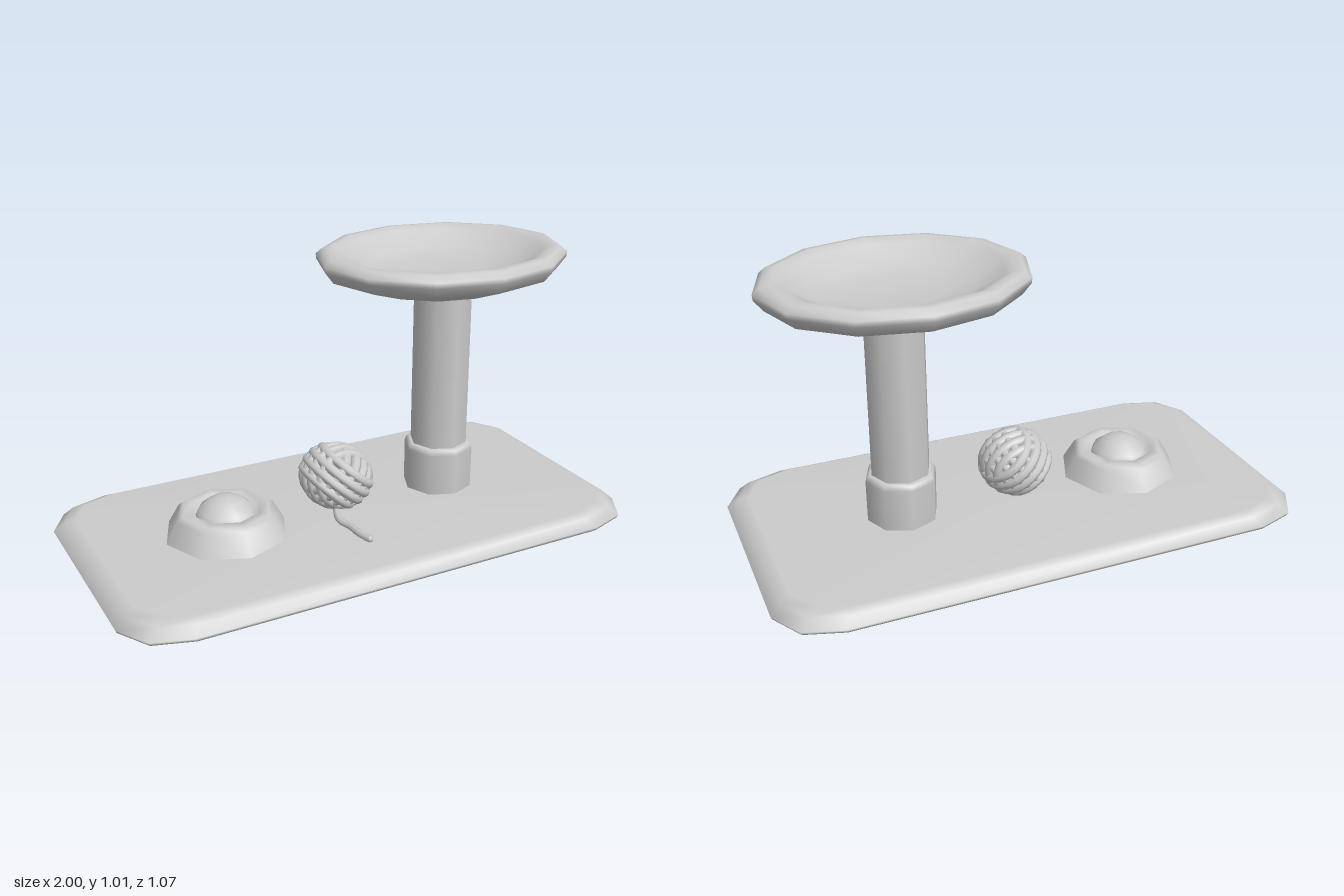
import * as THREE from 'three';

const material = new THREE.MeshStandardMaterial({ color: 0xcccccc });

function add(parent, name, geometry, x = 0, y = 0, z = 0) {
  const mesh = new THREE.Mesh(geometry, material);
  mesh.name = name;
  mesh.position.set(x, y, z);
  parent.add(mesh);
  return mesh;
}

// Revolved profile of [radius, height] pairs, listed from bottom to top
const lathe = (profile, sides) =>
  new THREE.LatheGeometry(profile.map(([r, y]) => new THREE.Vector2(r, y)), sides);

// Chamfered rectangular slab lofted through [height, inset] layers
function slabGeometry(layers) {
  const corner = [[1, 0.37], [0.93, 0.49], [0.79, 0.535]];
  const back = [...corner].reverse();
  const outline = [
    ...corner,
    ...back.map(([x, z]) => [-x, z]),
    ...corner.map(([x, z]) => [-x, -z]),
    ...back.map(([x, z]) => [x, -z]),
  ];
  const n = outline.length;
  const positions = [];
  const index = [];
  for (const [y, inset] of layers) {
    for (const [x, z] of outline) positions.push(x * (1 - inset), y, z * (1 - inset * 1.4));
  }
  const last = (layers.length - 1) * n;
  const bottom = layers.length * n;
  positions.push(0, layers[0][0], 0, 0, layers[layers.length - 1][0], 0);
  for (let i = 0; i < n; i++) {
    const j = (i + 1) % n;
    for (let k = 0; k < last; k += n) {
      index.push(k + i, k + n + i, k + j, k + j, k + n + i, k + n + j);
    }
    index.push(bottom, i, j, bottom + 1, last + j, last + i);
  }
  const geometry = new THREE.BufferGeometry();
  geometry.setAttribute('position', new THREE.Float32BufferAttribute(positions, 3));
  geometry.setIndex(index);
  geometry.computeVertexNormals();
  return geometry;
}

// Ball wound with parallel strands in three directions, plus a loose end
function createYarn() {
  const yarn = new THREE.Group();
  yarn.name = 'yarnBall';
  const ball = new THREE.Group();
  ball.name = 'windings';
  ball.position.set(-0.022, 0.182, 0);
  ball.scale.set(0.96, 0.86, 1.06);
  yarn.add(ball);
  add(ball, 'core', new THREE.SphereGeometry(0.117, 16, 12));

  const windings = [
    { axis: [1, 1, 0.1], radius: 0.127 },
    { axis: [1, -1, 0.15], radius: 0.119 },
    { axis: [0.1, 0.15, 1], radius: 0.123 },
  ];
  const zAxis = new THREE.Vector3(0, 0, 1);
  for (const { axis, radius } of windings) {
    const direction = new THREE.Vector3(...axis).normalize();
    for (let i = -1.5; i <= 1.5; i++) {
      const offset = i * 0.038;
      const ring = Math.sqrt(radius * radius - offset * offset);
      const strand = add(ball, 'strand', new THREE.TorusGeometry(ring, 0.02, 8, 24));
      strand.quaternion.setFromUnitVectors(zAxis, direction);
      strand.position.copy(direction).multiplyScalar(offset);
    }
  }

  const path = new THREE.CatmullRomCurve3([
    new THREE.Vector3(-0.05, 0.09, 0.05),
    new THREE.Vector3(-0.08, 0.074, 0.14),
    new THREE.Vector3(-0.065, 0.071, 0.2),
    new THREE.Vector3(-0.06, 0.069, 0.26),
    new THREE.Vector3(-0.047, 0.068, 0.31),
  ]);
  add(yarn, 'looseEnd', new THREE.TubeGeometry(path, 12, 0.013, 6));
  const tip = add(yarn, 'looseEndTip', new THREE.SphereGeometry(0.013, 6, 4));
  tip.position.copy(path.getPoint(1));
  return yarn;
}

export function createModel() {
  const model = new THREE.Group();
  model.name = 'catTree';

  add(model, 'base', slabGeometry([[0, 0.005], [0.012, 0], [0.045, 0.035], [0.06, 0.075]]));

  // Post with the sleeve around its foot
  add(model, 'post', new THREE.CylinderGeometry(0.109, 0.109, 0.84, 8), 0.425, 0.47, 0);
  add(model, 'postSleeve', lathe([
    [0.132, 0.055], [0.133, 0.22], [0.126, 0.237], [0.115, 0.242], [0.1, 0.242],
  ], 8), 0.425, 0, 0);

  // Oval perch: closed underside, rounded rim, shallow hollow
  const perch = add(model, 'perch', lathe([
    [0, 0.866], [0.57, 0.866], [0.93, 0.922], [0.995, 0.962], [1, 0.982],
    [0.95, 1.002], [0.88, 1.006], [0.8, 0.992], [0.6, 0.94], [0.35, 0.922], [0, 0.918],
  ], 12), 0.415, 0, 0);
  perch.scale.set(0.478, 1, 0.4);

  // Food bowl and its heap of food
  const bowl = new THREE.Group();
  bowl.name = 'foodBowl';
  bowl.position.set(-0.465, 0, 0);
  model.add(bowl);
  add(bowl, 'bowl', lathe([
    [0.23, 0.056], [0.184, 0.137], [0.165, 0.151], [0.128, 0.151], [0.112, 0.125], [0, 0.12],
  ], 8));
  add(bowl, 'food', lathe([
    [0.112, 0.125], [0.1, 0.152], [0.062, 0.183], [0.028, 0.194], [0, 0.196],
  ], 10));

  model.add(createYarn());
  return model;
}
